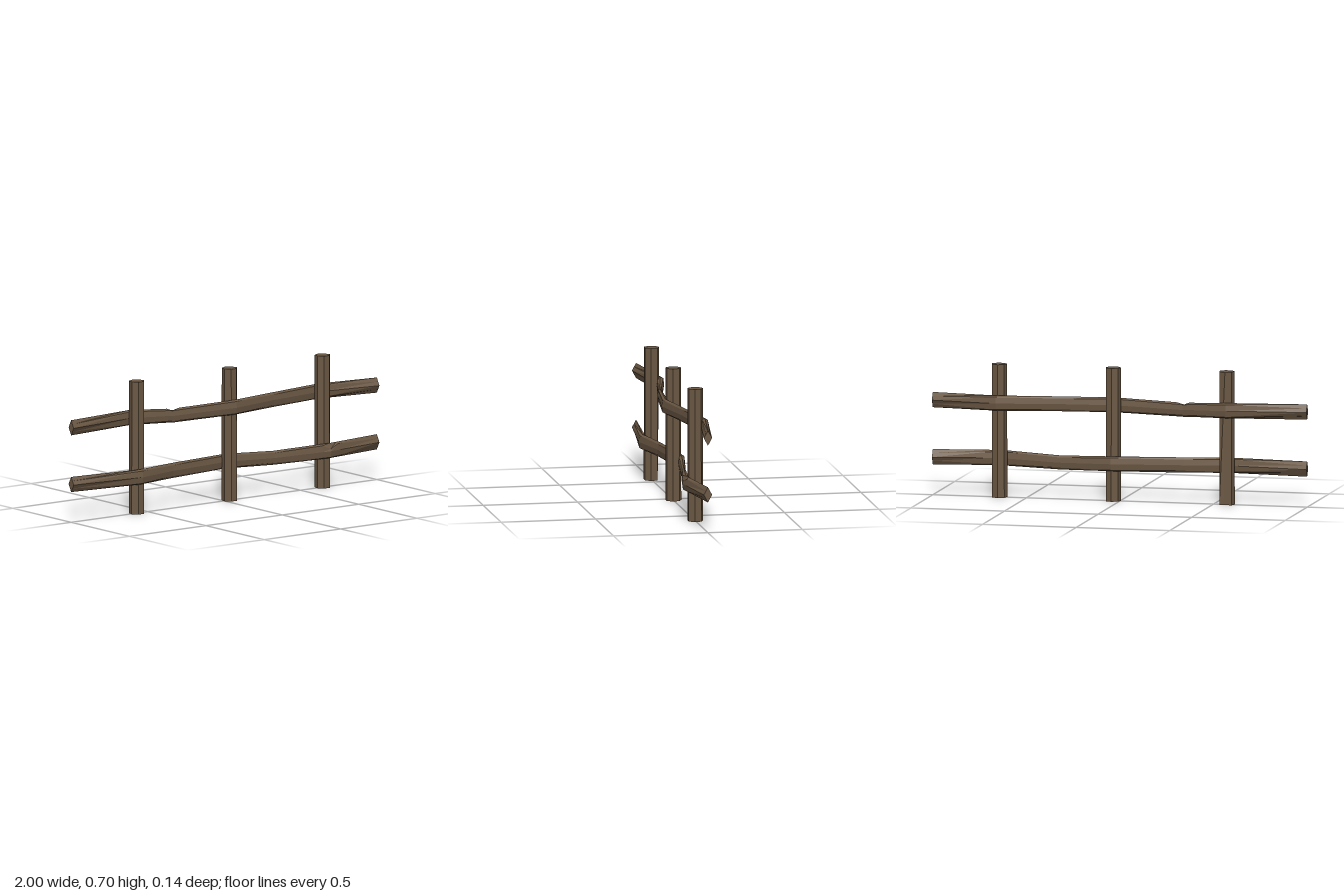
import * as THREE from 'three';

const wood = new THREE.MeshStandardMaterial({ color: 0x6b5844, flatShading: true });

// Seven-sided post standing on the ground, flat side to the front
function makePost(x, name, chipped) {
  const geo = new THREE.CylinderGeometry(0.041, 0.042, 0.7, 7, 1, false, Math.PI);
  geo.translate(0, 0.35, 0);
  if (chipped) {
    // Knock the rear corner of the foot inwards
    const p = geo.attributes.position;
    for (let i = 0; i < p.count; i++) {
      if (p.getY(i) < 0.01 && p.getZ(i) < -0.04) p.setXYZ(i, 0.012, 0, -0.022);
    }
    geo.computeVertexNormals();
  }
  const post = new THREE.Mesh(geo, wood);
  post.position.x = x;
  post.name = name;
  return post;
}

// Rail lofted along x. Station: [x, y, z, halfHeight, halfDepth, fullness, topChip, frontChip]
// fullness 0 gives a diamond section, 1 a rounded one
function makeRail(stations, name) {
  const pos = [], index = [], sides = 8;
  for (const [x, y, z, h, w, full, topChip = 0, frontChip = 0] of stations) {
    const cw = 0.5 + 0.25 * full, ch = 0.5 + 0.32 * full;
    const ring = [[1, 0], [cw, ch], [0, 1], [-cw, ch], [-1, 0], [-cw, -ch], [0, -1], [cw, -ch]];
    ring.forEach(([a, b], k) => {
      const drop = k === 2 ? topChip : k === 1 ? frontChip : 0;
      pos.push(x, y + b * h - drop, z + a * w);
    });
  }
  const last = (stations.length - 1) * sides;
  for (let i = 0; i < stations.length - 1; i++) {
    for (let k = 0; k < sides; k++) {
      const a = i * sides + k, d = i * sides + (k + 1) % sides;
      index.push(a, a + sides, d + sides, a, d + sides, d);
    }
  }
  // End caps
  for (let k = 1; k < sides - 1; k++) {
    index.push(0, k, k + 1, last, last + k + 1, last + k);
  }
  let geo = new THREE.BufferGeometry();
  geo.setAttribute('position', new THREE.Float32BufferAttribute(pos, 3));
  geo.setIndex(index);
  geo = geo.toNonIndexed();
  geo.computeVertexNormals();
  const rail = new THREE.Mesh(geo, wood);
  rail.name = name;
  return rail;
}

export function createModel() {
  const group = new THREE.Group();
  group.name = 'fence';

  // Posts
  group.add(makePost(-0.57, 'rightPost', true));
  group.add(makePost(0.037, 'middlePost', false));
  group.add(makePost(0.645, 'leftPost', false));

  // Upper rail: behind, in front, behind
  group.add(makeRail([
    [-1, 0.5, 0, 0.04, 0.022, 0],
    [-0.58, 0.5, -0.049, 0.04, 0.02, 1],
    [-0.37, 0.492, -0.005, 0.037, 0.013, 0.8],
    [-0.34, 0.49, 0.001, 0.037, 0.012, 0.7, 0.01],
    [-0.3, 0.491, 0.006, 0.037, 0.013, 0.8],
    [0.037, 0.498, 0.043, 0.039, 0.019, 1],
    [0.32, 0.5, 0, 0.039, 0.012, 0.7],
    [0.65, 0.5, -0.05, 0.04, 0.02, 1],
    [1, 0.5, 0, 0.04, 0.022, 0],
  ], 'upperRail'));

  // Lower rail: in front, behind, in front
  group.add(makeRail([
    [-1, 0.2, 0, 0.04, 0.022, 0],
    [-0.58, 0.2, 0.047, 0.04, 0.02, 1],
    [-0.34, 0.2, 0.001, 0.04, 0.012, 0.7],
    [0.037, 0.2, -0.043, 0.039, 0.019, 1],
    [0.32, 0.192, 0, 0.037, 0.012, 0.7],
    [0.6, 0.199, 0.043, 0.04, 0.019, 1],
    [0.65, 0.2, 0.05, 0.04, 0.02, 1, 0, 0.022],
    [0.7, 0.2, 0.043, 0.04, 0.02, 0.9],
    [1, 0.2, 0, 0.04, 0.022, 0],
  ], 'lowerRail'));

  return group;
}
